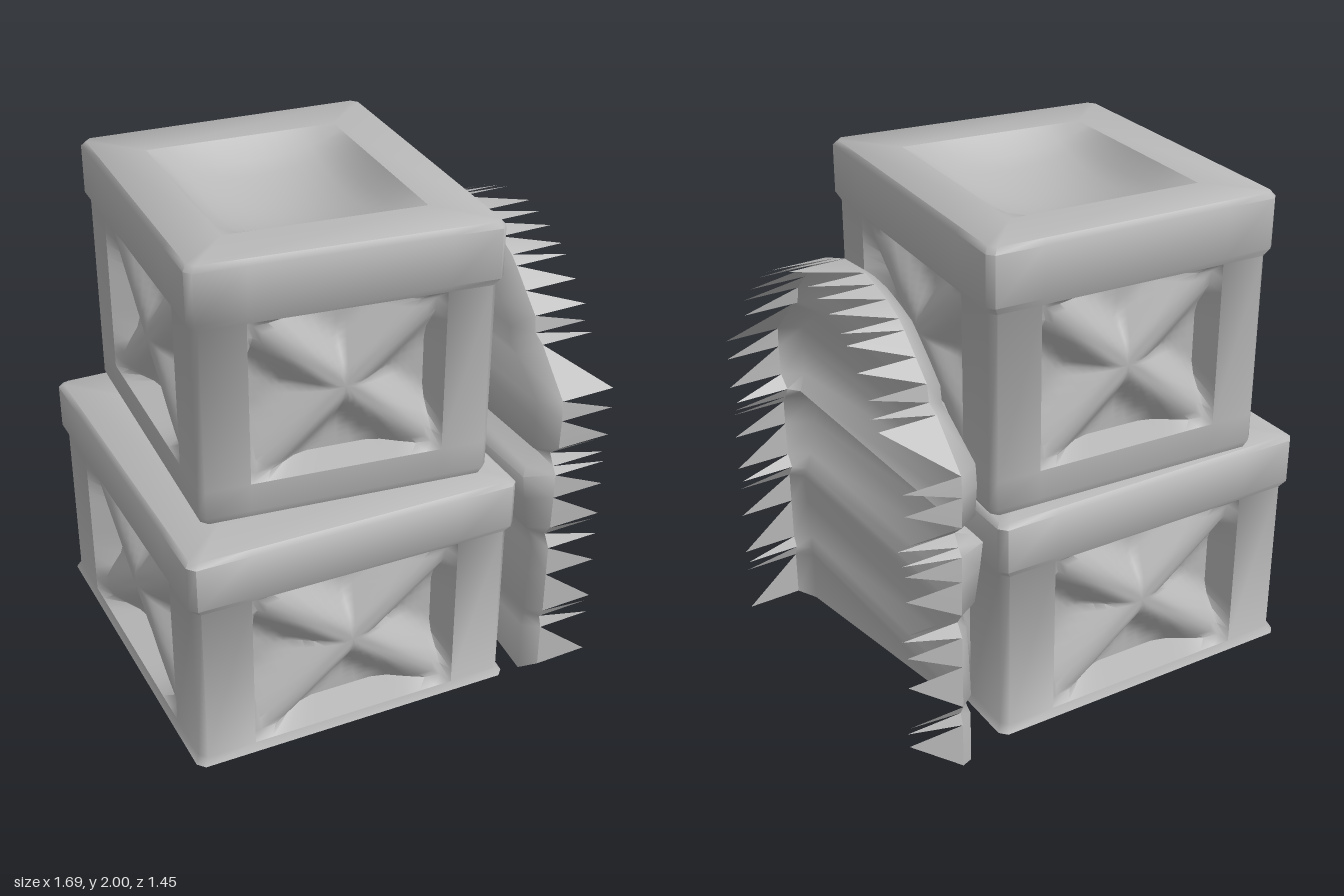
import * as THREE from 'three';
import { mergeVertices, toCreasedNormals } from 'three/addons/utils/BufferGeometryUtils.js';

const grey = new THREE.MeshStandardMaterial({ color: 0xb8b8b8, side: THREE.DoubleSide });
grey.name = 'plain grey';

// Collects triangles and quads of [x, y, z] corners
function collector() {
  const pos = [];
  const tri = (a, b, c) => pos.push(...a, ...b, ...c);
  const quad = (a, b, c, d) => { tri(a, b, c); tri(a, c, d); };
  const mesh = (name, crease) => {
    const g = new THREE.BufferGeometry();
    g.setAttribute('position', new THREE.Float32BufferAttribute(pos, 3));
    const m = new THREE.Mesh(toCreasedNormals(mergeVertices(g, 1e-5), crease), grey);
    m.name = name;
    return m;
  };
  return { tri, quad, mesh };
}

// Crate over four ground corners; profile rows are [y, outset], windowRow is the row with the X panel
function crate(name, corners, profile, windowRow) {
  const group = new THREE.Group();
  group.name = name;
  const [bl, br, fr, fl] = corners;
  const place = (a, y, b) => {
    const u = a + 0.5, v = b + 0.5;
    const mix = i => (1 - v) * ((1 - u) * bl[i] + u * br[i]) + v * ((1 - u) * fl[i] + u * fr[i]);
    return [mix(0), y, mix(1)];
  };
  const bevel = 0.02, win = 0.32, N = 12;
  const frame = collector(), panels = collector(), lid = collector();

  for (let k = 0; k < 4; k++) {
    const at = (a, y, out) => {
      let b = 0.5 + out;
      for (let i = 0; i < k; i++) [a, b] = [b, -a];
      return place(a, y, b);
    };
    // Posts, rails and the chamfered corner
    for (let r = 0; r < profile.length - 1; r++) {
      const [y0, o0] = profile[r], [y1, o1] = profile[r + 1];
      const cols = o => [-0.5 - o + bevel, -win, win, 0.5 + o - bevel];
      const c0 = cols(o0), c1 = cols(o1);
      for (let c = 0; c < 3; c++) {
        if (r === windowRow && c === 1) continue;
        frame.quad(at(c0[c], y0, o0), at(c0[c + 1], y0, o0), at(c1[c + 1], y1, o1), at(c1[c], y1, o1));
      }
      frame.quad(at(c0[3], y0, o0), at(0.5 + o0, y0, o0 - bevel), at(0.5 + o1, y1, o1 - bevel), at(c1[3], y1, o1));
    }
    // Sunken panel: four wedges that meet in a raised X and slope up to the frame
    const [y0, o0] = profile[windowRow], [y1, o1] = profile[windowRow + 1];
    for (let w = 0; w < 4; w++) {
      const spot = (i, j) => {
        const r = i / N, t = j / N * 2 - 1;
        let u = r * t, v = r;
        for (let q = 0; q < w; q++) [u, v] = [v, -u];
        const pit = THREE.MathUtils.smoothstep(r * (1 - Math.abs(t)), 0.06, 0.6);
        const depth = i === N ? 0 : 0.02 + 0.07 * pit;
        const h = (v + 1) / 2;
        return at(u * win, y0 + (y1 - y0) * h, o0 + (o1 - o0) * h - depth);
      };
      for (let j = 0; j < N; j++) {
        panels.tri(spot(0, 0), spot(1, j + 1), spot(1, j));
        for (let i = 1; i < N; i++) {
          panels.quad(spot(i, j), spot(i, j + 1), spot(i + 1, j + 1), spot(i + 1, j));
        }
      }
    }
    // Rim of the top, one side and one corner at a time
    const [yt, ot] = profile[profile.length - 1], e = 0.5 + ot;
    const inner = 0.33 - 0.5;
    frame.quad(at(-e + bevel, yt, ot), at(e - bevel, yt, ot), at(0.33, yt, inner), at(-0.33, yt, inner));
    frame.tri(at(e - bevel, yt, ot), at(e, yt, ot - bevel), at(0.33, yt, inner));
  }

  // Hollow in the top
  const top = profile[profile.length - 1][0];
  const dip = (i, j) => {
    const u = i / N * 2 - 1, v = j / N * 2 - 1;
    return place(u * 0.33, top - 0.16 * (1 - u * u) ** 0.7 * (1 - v * v) ** 0.7, v * 0.33);
  };
  for (let i = 0; i < N; i++) {
    for (let j = 0; j < N; j++) {
      lid.quad(dip(i, j), dip(i, j + 1), dip(i + 1, j + 1), dip(i + 1, j));
    }
  }
  group.add(frame.mesh('frame', 1.0), panels.mesh('crossPanels', 1.2), lid.mesh('topHollow', 1.0));
  return group;
}

// Standing arched sheet with a turned rim and jagged teeth
function jaggedSheet() {
  const group = new THREE.Group();
  group.name = 'jaggedSheet';
  // y, half width, face x
  const rows = [
    [0.035, 0.67, 0.56], [0.22, 0.67, 0.56], [0.265, 0.655, 0.572], [0.305, 0.675, 0.56],
    [0.48, 0.675, 0.567], [0.605, 0.675, 0.575], [0.655, 0.645, 0.575], [0.7, 0.675, 0.54],
    [0.84, 0.68, 0.52], [0.94, 0.68, 0.507], [0.97, 0.66, 0.53], [1.015, 0.635, 0.585],
    [1.06, 0.685, 0.54], [1.18, 0.69, 0.535], [1.26, 0.685, 0.537], [1.42, 0.535, 0.543],
    [1.445, 0.485, 0.543], [1.51, 0.475, 0.543], [1.58, 0.405, 0.543], [1.65, 0.335, 0.545],
    [1.68, 0.3, 0.545], [1.72, 0.22, 0.55], [1.745, 0.14, 0.55], [1.765, 0.075, 0.56],
  ];
  const rim = (r, s) => [0.62, r[0], s * r[1]];
  const face = (r, s) => {
    const drop = r[0] > 1.26 ? 0.045 : r[0] < 0.1 ? 0.03 : 0;
    return [r[2], r[0] - drop, s * (r[1] - 0.045)];
  };
  const sheet = collector(), teeth = collector();
  for (let i = 0; i < rows.length - 1; i++) {
    const a = rows[i], b = rows[i + 1];
    // The lowest strip is torn off along a diagonal
    sheet.tri(face(a, 1), face(b, -1), face(b, 1));
    if (i > 0) sheet.tri(face(a, 1), face(a, -1), face(b, -1));
    for (const s of [1, -1]) {
      const q = [rim(a, s), face(a, s), face(b, s), rim(b, s)];
      if (s < 0) q.reverse();
      sheet.quad(...q);
      // Teeth lean down on one edge and up on the other
      const tip = rim(s > 0 ? a : b, s);
      tip[0] = 0.84;
      teeth.tri(rim(a, s), rim(b, s), tip);
    }
  }
  const last = rows[rows.length - 1];
  sheet.quad(rim(last, 1), face(last, 1), face(last, -1), rim(last, -1));
  teeth.tri(rim(last, 1), rim(last, -1), [0.84, 1.765, 0.075]);
  group.add(sheet.mesh('sheet', 1.3), teeth.mesh('teeth', 0.3));
  return group;
}

export function createModel() {
  const model = new THREE.Group();
  model.name = 'stackedCrates';
  model.add(
    crate('lowerCrate',
      [[-0.825, -0.725], [0.458, -0.68], [0.425, 0.725], [-0.845, 0.675]],
      [[0.1, 0.0], [0.13, -0.012], [0.78, -0.012], [0.81, 0.002], [0.985, 0.002], [1.0, -0.012]], 1),
    crate('upperCrate',
      [[-0.65, -0.715], [0.468, -0.625], [0.365, 0.643], [-0.73, 0.485]],
      [[1.0, -0.022], [1.03, -0.012], [1.14, -0.012], [1.765, -0.012], [1.795, 0.003], [1.98, 0.003], [2.0, -0.01]], 2),
    jaggedSheet(),
  );
  return model;
}
